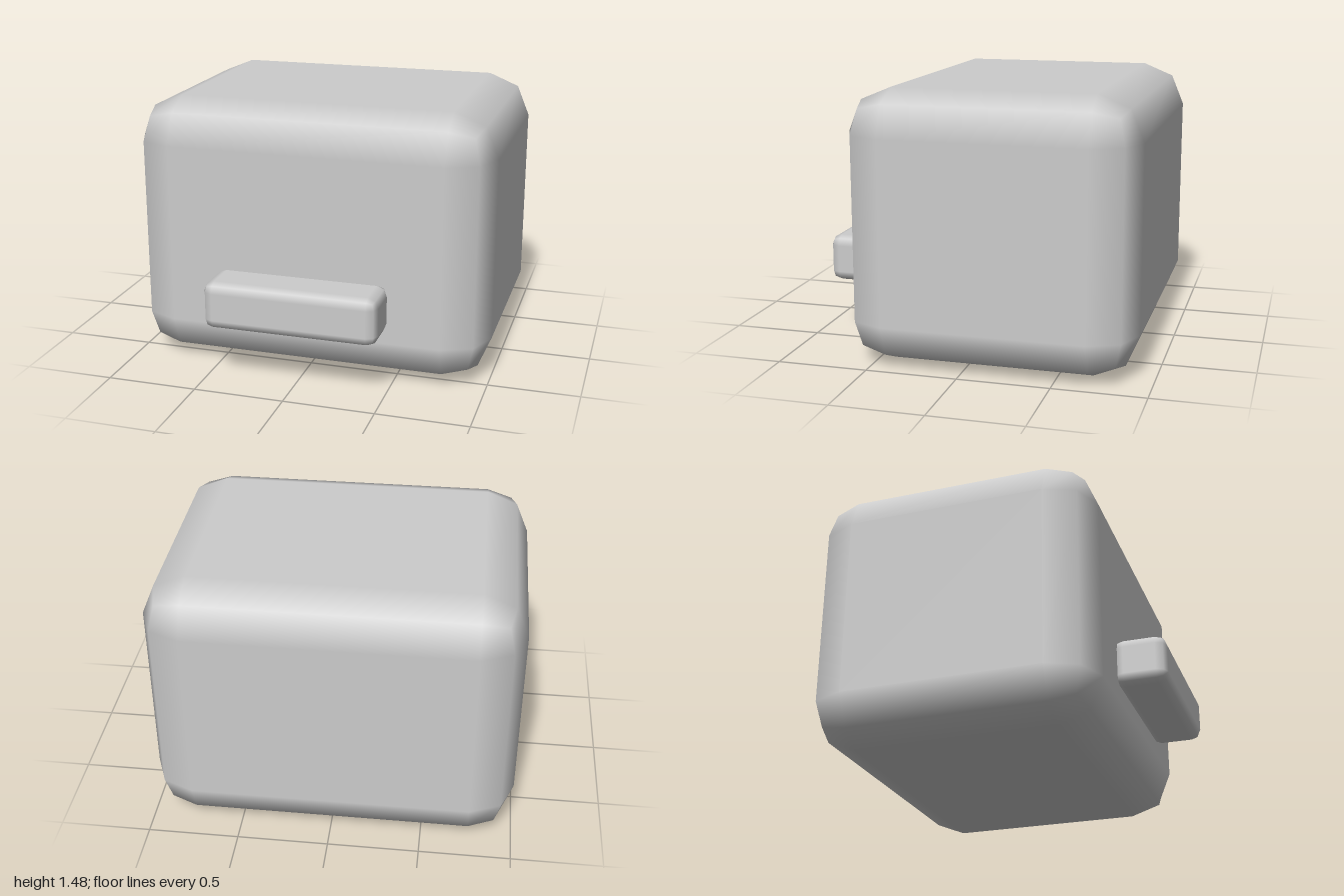
import * as THREE from 'three';
import { RoundedBoxGeometry } from 'three/addons/geometries/RoundedBoxGeometry.js';

const material = new THREE.MeshStandardMaterial({ color: 0xcccccc });

// Box with coarse two-step rounded edges, given by its minimum and maximum corners
function roundedBlock(name, min, max, radius) {
  const [w, h, d] = max.map((v, i) => v - min[i]);
  const mesh = new THREE.Mesh(new RoundedBoxGeometry(w, h, d, 1, radius), material);
  mesh.position.set(...max.map((v, i) => (v + min[i]) / 2));
  mesh.name = name;
  return mesh;
}

export function createModel() {
  const model = new THREE.Group();
  model.name = 'roundedBoxWithHandle';

  // Main body
  model.add(roundedBlock('body', [-1, 0, -0.917], [1, 1.48, 0.655], 0.24));

  // Low bar on the front, its back edge sunk slightly into the body
  model.add(roundedBlock('frontBar', [-0.48, 0.315, 0.63], [0.48, 0.58, 0.917], 0.057));

  return model;
}
